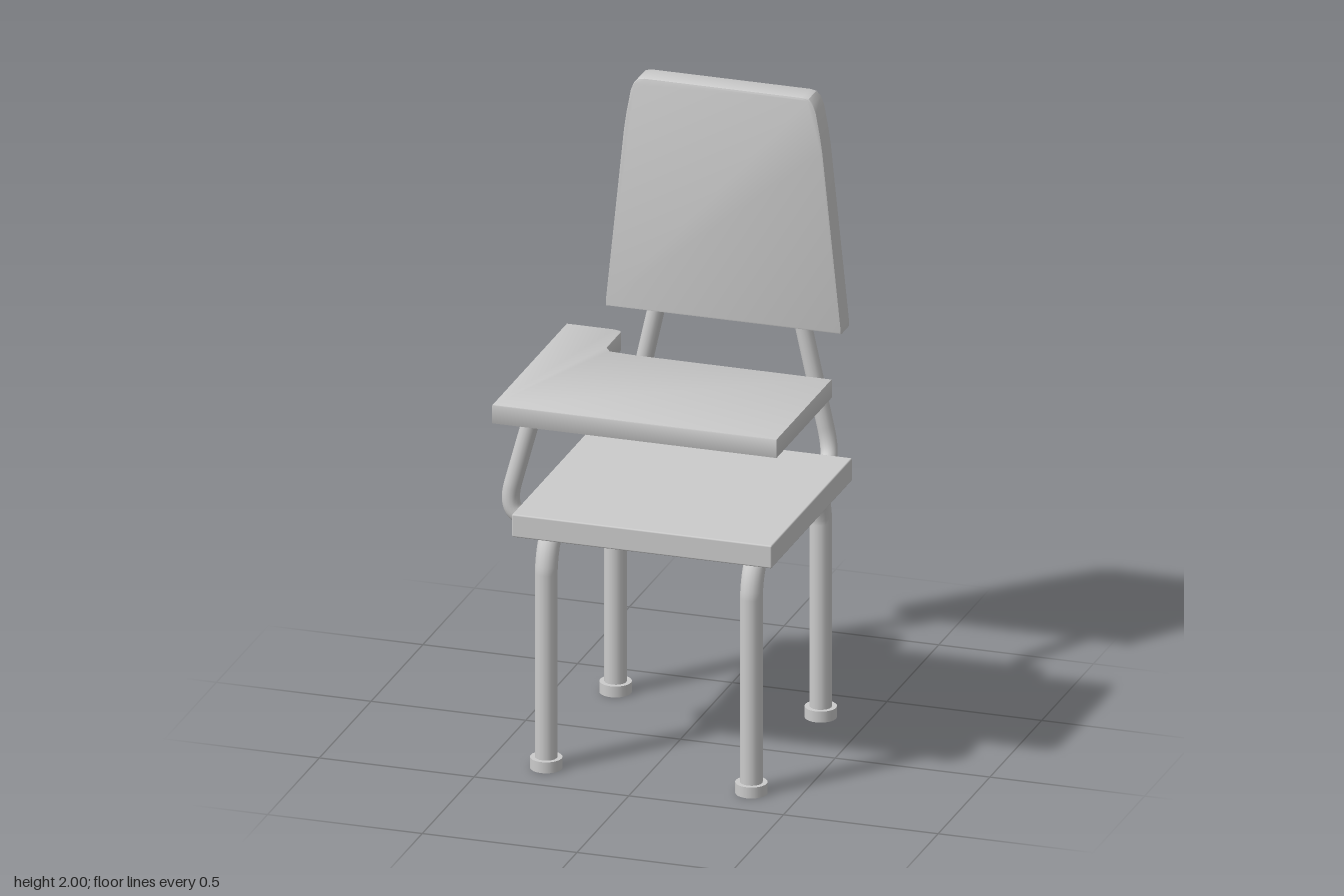
import * as THREE from 'three';
import { toCreasedNormals } from 'three/addons/utils/BufferGeometryUtils.js';
import { RoundedBoxGeometry } from 'three/addons/geometries/RoundedBoxGeometry.js';

const material = new THREE.MeshStandardMaterial({ color: 0xcccccc });
const V = (x, y, z) => new THREE.Vector3(x, y, z);

function addMesh(parent, name, geometry, x = 0, y = 0, z = 0) {
  const mesh = new THREE.Mesh(geometry, material);
  mesh.name = name;
  mesh.position.set(x, y, z);
  parent.add(mesh);
  return mesh;
}

// Bent pipe: straight runs a-b and c-d joined by a bend around the corner point
function bentPipe(a, b, corner, c, d, radius) {
  const path = new THREE.CurvePath();
  path.add(new THREE.LineCurve3(a, b));
  path.add(new THREE.QuadraticBezierCurve3(b, corner, c));
  path.add(new THREE.LineCurve3(c, d));
  return new THREE.TubeGeometry(path, 40, radius, 16);
}

// Panel cut from an outline, with a slight bevel inside the given size
function panel(points, depth, bevel) {
  const shape = new THREE.Shape(points.map(([x, y]) => new THREE.Vector2(x, y)));
  const geometry = new THREE.ExtrudeGeometry(shape, {
    depth: depth - 2 * bevel, bevelThickness: bevel, bevelSize: bevel,
    bevelOffset: -bevel, bevelSegments: 2,
  });
  geometry.translate(0, 0, bevel);
  return toCreasedNormals(geometry, 0.6);
}

export function createModel() {
  const chair = new THREE.Group();
  chair.name = 'tabletArmChair';

  // Seat
  addMesh(chair, 'seat', new RoundedBoxGeometry(0.84, 0.075, 0.78, 2, 0.005), 0.01, 0.803, 0.015);

  // Legs curving in under the seat, with capped feet
  for (const x of [-0.315, 0.348]) {
    for (const [z, inward] of [[0.355, -1], [-0.315, 1]]) {
      const leg = new THREE.Group();
      leg.name = z > 0 ? 'frontLeg' : 'backLeg';
      leg.position.set(x, 0, z);
      addMesh(leg, 'legTube', bentPipe(
        V(0, 0.01, 0), V(0, 0.65, 0), V(0, 0.725, inward * 0.01),
        V(0, 0.755, inward * 0.05), V(0, 0.79, inward * 0.095), 0.035));
      addMesh(leg, 'foot', new THREE.CylinderGeometry(0.05, 0.05, 0.036, 24), 0, 0.018, 0);
      chair.add(leg);
    }
  }

  // Backrest posts leaning inward from the rear edge of the seat
  for (const side of [-1, 1]) {
    const at = (y, z) => V(0.016 + side * (0.325 - 0.222 * (y - 0.84)), y, z);
    addMesh(chair, 'backPost', bentPipe(
      at(0.8, -0.35), at(0.812, -0.385), at(0.83, -0.43),
      at(0.91, -0.43), at(1.27, -0.43), 0.027));
  }

  // Tapered backrest with clipped round top corners
  const half = [[0.381, 1.235], [0.381, 1.25], [0.322, 1.825], [0.314, 1.88],
    [0.3, 1.955], [0.29, 1.98], [0.275, 1.996], [0.255, 2]];
  const outline = [...half, ...half.map(([x, y]) => [-x, y]).reverse()];
  addMesh(chair, 'backrest', panel(outline, 0.085, 0.006), 0.007, 0, -0.475);

  // Tablet support arm curving out from the right of the seat
  addMesh(chair, 'tabletArm', bentPipe(
    V(-0.38, 0.79, 0.305), V(-0.41, 0.798, 0.305), V(-0.46, 0.815, 0.306),
    V(-0.44, 0.9, 0.306), V(-0.365, 1.18, 0.299), 0.028));

  // Writing tablet with an arm rest extending back on the right
  const tablet = panel([
    [-0.45, -0.475], [0.47, -0.475], [0.47, 0.058], [-0.17, 0.06], [-0.25, 0.066],
    [-0.268, 0.092], [-0.268, 0.225], [-0.273, 0.238], [-0.295, 0.245], [-0.45, 0.245],
  ], 0.063, 0.004);
  tablet.rotateX(-Math.PI / 2);
  addMesh(chair, 'writingTablet', tablet, 0, 1.16, 0);

  return chair;
}
